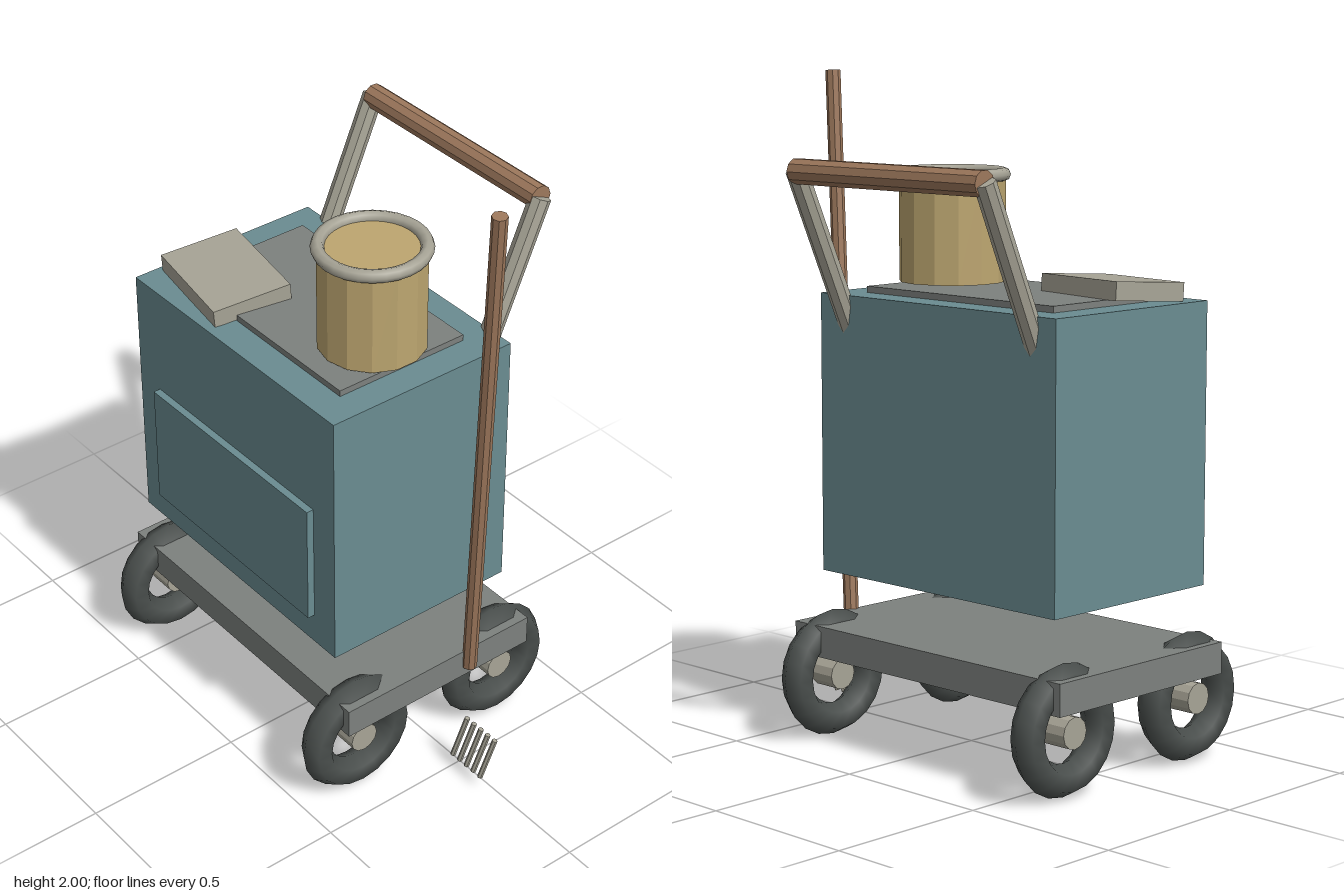
import * as THREE from 'three';

const mat = (name, color) => Object.assign(new THREE.MeshStandardMaterial({ color }), { name });

export function createModel() {
  const teal = mat('teal paint', 0x6a8c91);
  const grey = mat('grey steel', 0x7d817e);
  const rubber = mat('dark rubber', 0x4a4f4d);
  const pale = mat('pale metal', 0xa7a496);
  const wood = mat('brown wood', 0x9d785c);
  const tan = mat('tan bucket', 0xbda670);

  const cart = new THREE.Group();
  cart.name = 'utilityCart';

  const add = (name, geometry, material, x, y, z) => {
    const mesh = new THREE.Mesh(geometry, material);
    mesh.name = name;
    mesh.position.set(x, y, z);
    cart.add(mesh);
    return mesh;
  };
  // Box from its minimum and maximum corners
  const box = (name, material, a, b) => add(name,
    new THREE.BoxGeometry(b[0] - a[0], b[1] - a[1], b[2] - a[2]), material,
    (a[0] + b[0]) / 2, (a[1] + b[1]) / 2, (a[2] + b[2]) / 2);
  // Faceted cylinder
  const facetedCylinder = (radius, height, sides) => {
    const g = new THREE.CylinderGeometry(radius, radius, height, sides).toNonIndexed();
    g.computeVertexNormals();
    return g;
  };
  // Rod between two points
  const rod = (name, material, from, to, radius, sides = 8) => {
    const a = new THREE.Vector3(...from), b = new THREE.Vector3(...to);
    const dir = b.clone().sub(a), mid = a.clone().add(b).multiplyScalar(0.5);
    const mesh = add(name, facetedCylinder(radius, dir.length(), sides), material, mid.x, mid.y, mid.z);
    mesh.quaternion.setFromUnitVectors(new THREE.Vector3(0, 1, 0), dir.normalize());
    return mesh;
  };

  // Base, cabinet, front panel and top tray
  box('platform', grey, [-0.66, 0.265, -0.322], [0.427, 0.36, 0.372]);
  box('cabinet', teal, [-0.592, 0.52, -0.272], [0.356, 1.357, 0.368]);
  box('frontPanel', teal, [-0.493, 0.62, 0.36], [0.26, 1.008, 0.391]);
  box('topTray', grey, [-0.493, 1.35, -0.176], [0.26, 1.376, 0.27]);

  // Wheels with hubs
  for (const x of [-0.593, 0.357]) {
    for (const z of [0.295, -0.236]) {
      add('tire', new THREE.TorusGeometry(0.144, 0.049, 6, 20), rubber, x, 0.2, z).rotation.y = Math.PI / 2;
      rod('hub', pale, [x - 0.045, 0.2, z], [x + 0.045, 0.2, z], 0.047, 12);
    }
  }

  // Push handle
  for (const x of [-0.495, 0.26]) {
    rod('handlePost', pale, [x, 1.24, -0.235], [x, 1.73, -0.45], 0.032);
  }
  rod('handleBar', wood, [-0.495, 1.727, -0.45], [0.26, 1.727, -0.45], 0.038, 10);

  // Bucket with rolled rim
  add('bucket', facetedCylinder(0.16, 0.315, 14), tan, 0.133, 1.5425, 0.055);
  add('bucketRim', new THREE.TorusGeometry(0.154, 0.02, 8, 28), pale, 0.133, 1.702, 0.055).rotation.x = Math.PI / 2;

  // Slightly tilted box lying on the cabinet
  const pad = add('notePad', new THREE.BoxGeometry(0.343, 0.055, 0.25), pale, -0.382, 1.393, 0.191);
  pad.rotation.set(0.07, -0.16, 0);

  // Leaning pole and loose tines
  rod('pole', wood, [0.432, 0.3, -0.087], [0.594, 2, 0], 0.023);
  for (let i = 0; i < 5; i++) {
    const x = 0.497 + i * 0.0315;
    rod('tine', pale, [x, 0.046, 0.026], [x + 0.031, 0.2, -0.001], 0.0085, 6);
  }

  return cart;
}
